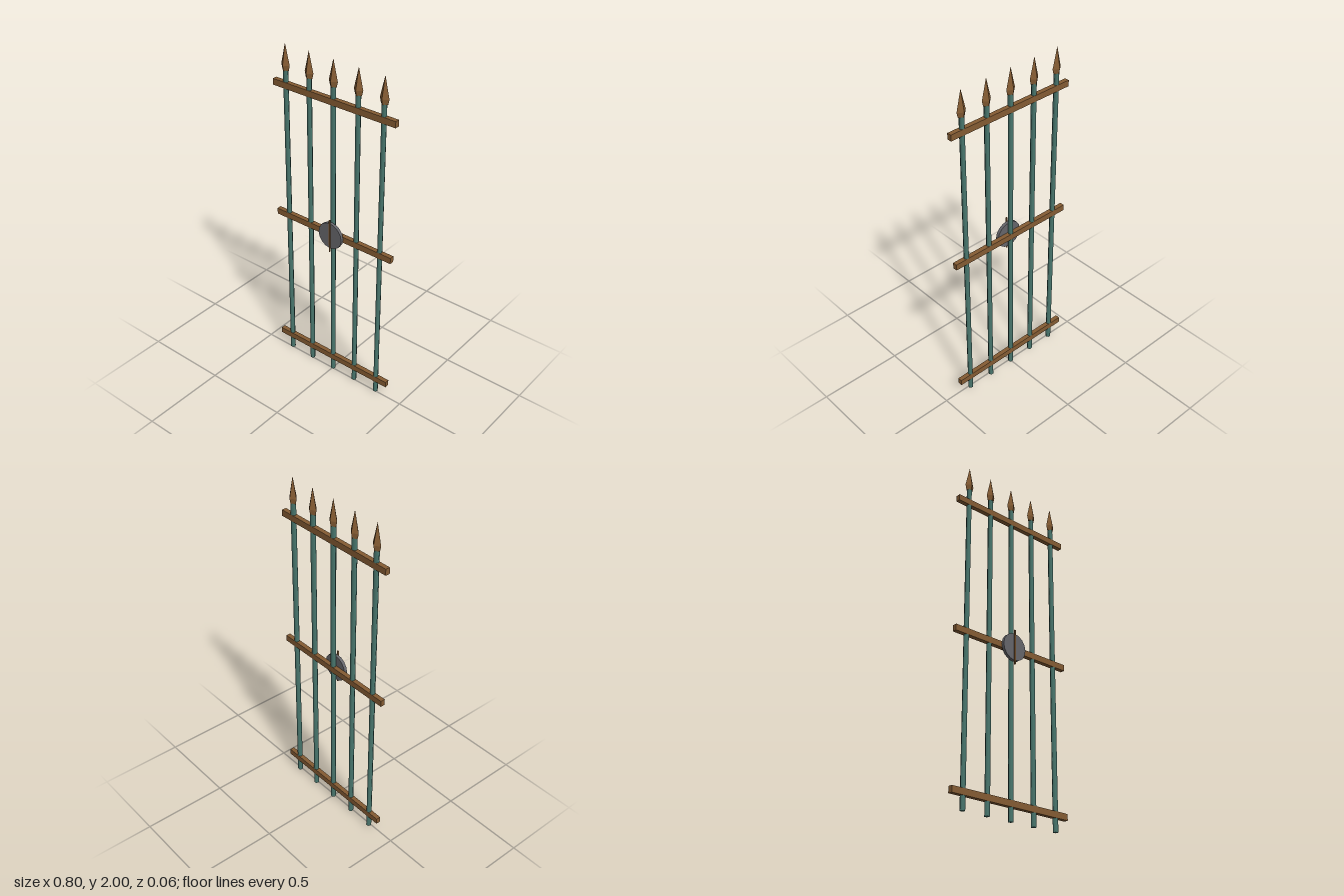
import * as THREE from 'three';
import { mergeVertices } from 'three/addons/utils/BufferGeometryUtils.js';

const bronze = new THREE.MeshStandardMaterial({ name: 'bronze brown', color: 0x855c33 });
const iron = new THREE.MeshStandardMaterial({ name: 'green iron', color: 0x4a786f });
const steel = new THREE.MeshStandardMaterial({ name: 'grey steel', color: 0x66666b });

const MID_Z = -0.0075; // plane of the bars and rails

function add(parent, name, geometry, material, x, y, z) {
  const mesh = new THREE.Mesh(geometry, material);
  mesh.name = name;
  mesh.position.set(x, y, z);
  parent.add(mesh);
  return mesh;
}

// Weld all corners so that shading runs smoothly along the bar and over its ends
function weld(geometry) {
  geometry.deleteAttribute('normal');
  geometry.deleteAttribute('uv');
  const welded = mergeVertices(geometry, 1e-4);
  welded.computeVertexNormals();
  return welded;
}

// Faceted four-sided piece with its corners on the x and z axes
function facet(rTop, rBottom, height) {
  const g = new THREE.CylinderGeometry(rTop, rBottom, height, 4).toNonIndexed();
  g.scale(1, 1, 0.8);
  g.computeVertexNormals();
  return g;
}

export function createModel() {
  const gate = new THREE.Group();
  gate.name = 'ironGate';

  // Upright bars with spear heads
  const barGeometry = weld(new THREE.CylinderGeometry(0.015, 0.015, 1.86, 6).rotateY(Math.PI / 6));
  const neckGeometry = facet(0.029, 0.022, 0.03);
  const tipGeometry = facet(0, 0.029, 0.12);
  for (let i = -2; i <= 2; i++) {
    const x = i * 0.16;
    add(gate, 'bar', barGeometry, iron, x, 0.93, MID_Z);
    const spear = new THREE.Group();
    spear.name = 'spearHead';
    add(spear, 'spearNeck', neckGeometry, bronze, x, 1.865, MID_Z);
    add(spear, 'spearTip', tipGeometry, bronze, x, 1.94, MID_Z);
    gate.add(spear);
  }

  // Cross rails
  const railGeometry = new THREE.BoxGeometry(0.8, 0.036, 0.027);
  for (const y of [0.093, 0.963, 1.766]) add(gate, 'rail', railGeometry, bronze, 0, y, MID_Z);

  // Round lock plate with a thin upright strip
  const disc = new THREE.CylinderGeometry(0.08, 0.08, 0.018, 16).rotateX(Math.PI / 2);
  add(gate, 'lockPlate', disc, steel, 0, 0.965, 0.014);
  add(gate, 'lockStrip', new THREE.BoxGeometry(0.007, 0.205, 0.008), bronze, 0, 0.965, 0.024);

  return gate;
}
